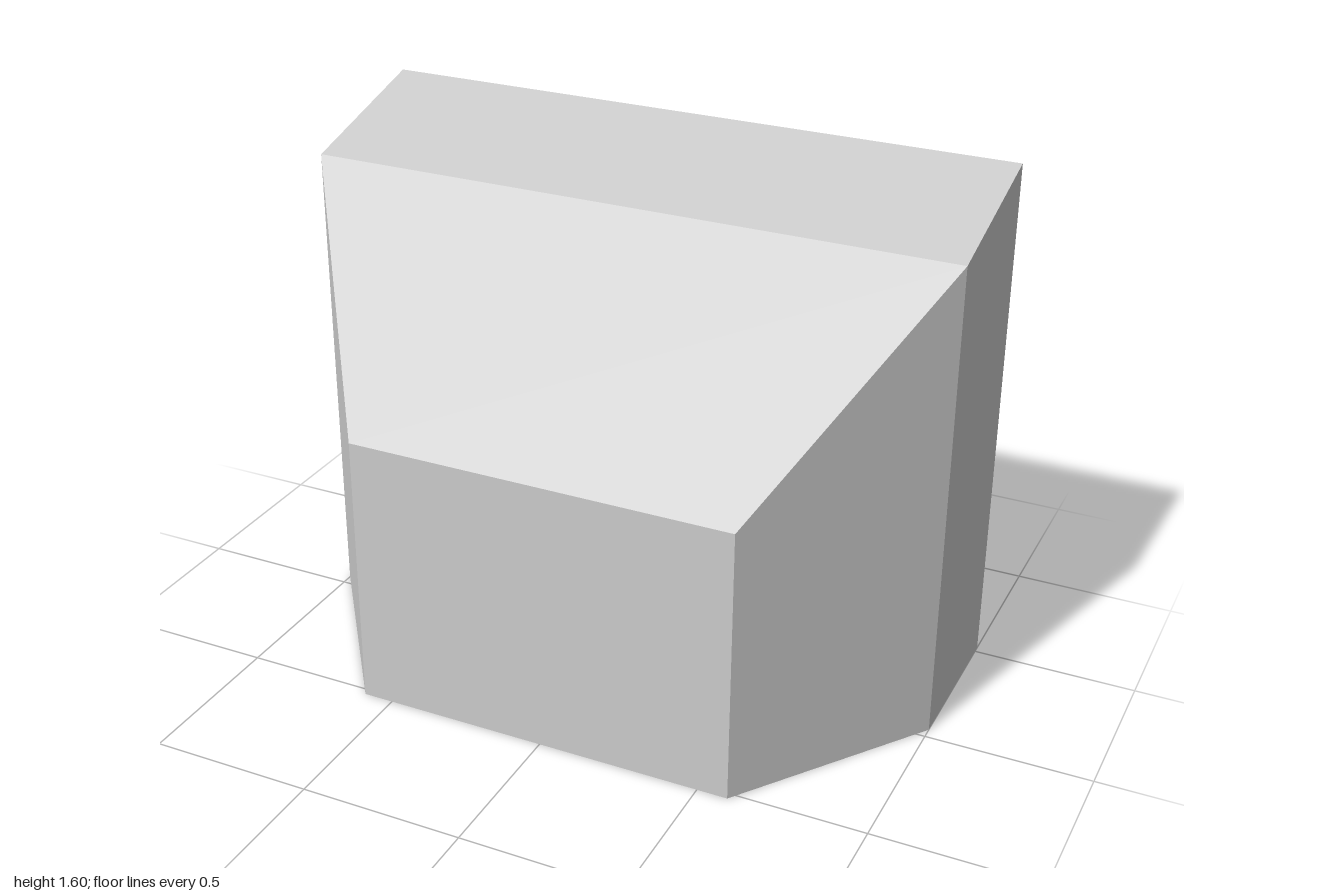
import * as THREE from 'three';

const material = new THREE.MeshStandardMaterial({ color: 0xcccccc, flatShading: true });

// Four corners of an upright rectangle at depth z, counter-clockwise from the front
const ring = ({ z, w, y0, y1 }) => [[-w, y0, z], [w, y0, z], [w, y1, z], [-w, y1, z]];

// Joins rectangular sections with flat quads; optionally closes the last one
function loft(name, sections, capEnd = false) {
  const rings = sections.map(ring);
  const positions = [];
  const quad = (a, b, c, d) => positions.push(...a, ...b, ...c, ...a, ...c, ...d);
  for (let i = 0; i < rings.length - 1; i++) {
    for (let k = 0; k < 4; k++) {
      const n = (k + 1) % 4;
      quad(rings[i][k], rings[i][n], rings[i + 1][n], rings[i + 1][k]);
    }
  }
  if (capEnd) quad(...rings[rings.length - 1]);
  const geometry = new THREE.BufferGeometry();
  geometry.setAttribute('position', new THREE.Float32BufferAttribute(positions, 3));
  geometry.computeVertexNormals();
  const mesh = new THREE.Mesh(geometry, material);
  mesh.name = name;
  return mesh;
}

export function createModel() {
  const group = new THREE.Group();
  group.name = 'monitor';

  const backZ = -0.523;
  const recessDepth = 0.065;
  const outerBack = { z: backZ, w: 1, y0: 0, y1: 1.6 };
  const opening = { z: backZ, w: 0.825, y0: 0.14, y1: 1.46 };
  const recessFloor = { ...opening, z: backZ + recessDepth };

  // Casing: straight section, then a taper to the small flat end
  group.add(loft('casing', [
    outerBack,
    { z: -0.037, w: 1, y0: 0, y1: 1.475 },
    { z: 0.523, w: 0.593, y0: 0, y1: 0.855 },
  ], true));

  // Frame around the screen, with the inner walls of the recess
  group.add(loft('screenFrame', [recessFloor, opening, outerBack]));

  // Flat screen at the bottom of the recess, facing -z
  const screen = new THREE.Mesh(
    new THREE.PlaneGeometry(2 * opening.w, opening.y1 - opening.y0), material);
  screen.name = 'screen';
  screen.rotation.y = Math.PI;
  screen.position.set(0, (opening.y0 + opening.y1) / 2, recessFloor.z);
  group.add(screen);

  return group;
}
